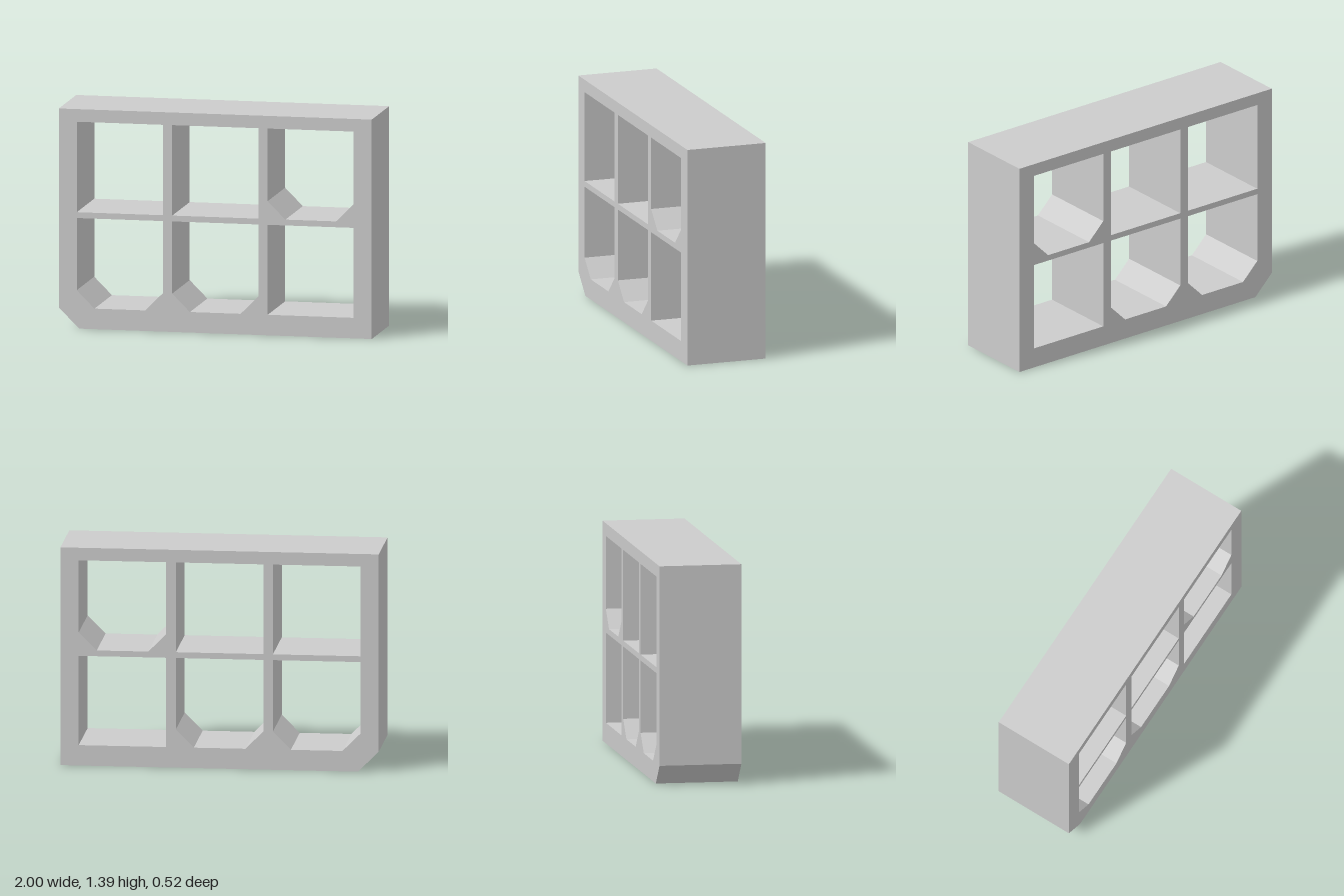
import * as THREE from 'three';

const WIDTH = 2, HEIGHT = 1.39, DEPTH = 0.52;
const CELL = 0.55, PITCH = 0.61, CELL_CUT = 0.113, FRAME_CUT = 0.13;

// Rectangle outline with optional cut corners at the bottom
function outline(path, x0, y0, x1, y1, cutLeft, cutRight) {
  const pts = [];
  const add = (x, y) => pts.push(new THREE.Vector2(x, y));
  if (cutLeft) { add(x0, y0 + cutLeft); add(x0 + cutLeft, y0); } else add(x0, y0);
  if (cutRight) { add(x1 - cutRight, y0); add(x1, y0 + cutRight); } else add(x1, y0);
  add(x1, y1);
  add(x0, y1);
  path.setFromPoints(pts);
  path.closePath();
  return path;
}

export function createModel() {
  const group = new THREE.Group();
  group.name = 'cubbyShelf';

  // Outer frame, cut at one lower corner
  const shape = outline(new THREE.Shape(), -WIDTH / 2, 0, WIDTH / 2, HEIGHT, FRAME_CUT, 0);

  // Two rows of three openings, some with cut lower corners
  const rows = [
    { y0: 0.13, y1: 0.7, cut: [true, true, false] },
    { y0: 0.737, y1: 1.31, cut: [false, false, true] },
  ];
  for (const { y0, y1, cut } of rows) {
    cut.forEach((isCut, i) => {
      const x = (i - 1) * PITCH, c = isCut ? CELL_CUT : 0;
      shape.holes.push(outline(new THREE.Path(), x - CELL / 2, y0, x + CELL / 2, y1, c, c));
    });
  }

  const geometry = new THREE.ExtrudeGeometry(shape, { depth: DEPTH, bevelEnabled: false });
  geometry.translate(0, 0, -DEPTH / 2);
  const frame = new THREE.Mesh(
    geometry,
    new THREE.MeshStandardMaterial({ color: 0xcccccc, flatShading: true })
  );
  frame.name = 'shelfFrame';
  group.add(frame);
  return group;
}
